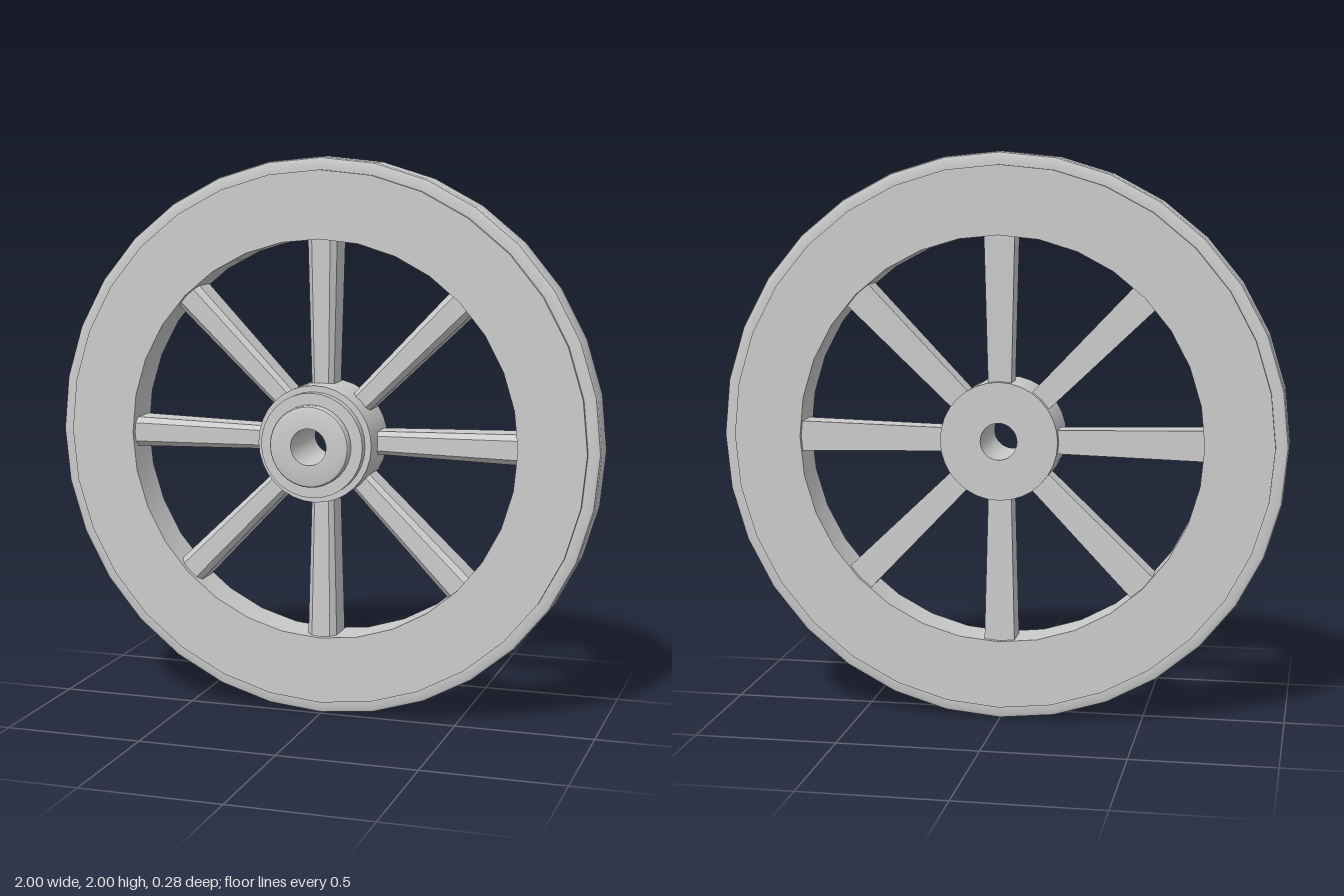
import * as THREE from 'three';
import { toCreasedNormals } from 'three/addons/utils/BufferGeometryUtils.js';

const material = new THREE.MeshStandardMaterial({ color: 0xcccccc });

function addMesh(parent, name, geometry) {
  const mesh = new THREE.Mesh(toCreasedNormals(geometry, Math.PI / 7), material);
  mesh.name = name;
  parent.add(mesh);
  return mesh;
}

// Turns a closed [radius, z] profile around the z axis
function turned(profile, segments) {
  const points = [...profile, profile[0]].map(([r, z]) => new THREE.Vector2(r, z));
  return new THREE.LatheGeometry(points, segments).rotateX(Math.PI / 2);
}

// Tapered bar along y with chamfered front edges
function spokeGeometry() {
  const inner = 0.15, outer = 0.73, half = 0.054, chamfer = 0.02;
  const front = 0.06, midZ = -0.064;
  const section = new THREE.Shape([
    [-half, front], [-half, -front + chamfer], [-half + chamfer, -front],
    [half - chamfer, -front], [half, -front + chamfer], [half, front],
  ].map(([x, y]) => new THREE.Vector2(x, y)));
  const geometry = new THREE.ExtrudeGeometry(section, { depth: outer - inner, bevelEnabled: false });
  geometry.rotateX(-Math.PI / 2).translate(0, inner, 0);
  const p = geometry.attributes.position;
  for (let i = 0; i < p.count; i++) {
    const t = (p.getY(i) - inner) / (outer - inner);
    const s = 0.74 + 0.26 * t;
    p.setX(i, p.getX(i) * s);
    p.setZ(i, p.getZ(i) * (0.84 + 0.16 * t) + midZ);
  }
  return geometry;
}

export function createModel() {
  const wheel = new THREE.Group();
  wheel.name = 'wheel';
  wheel.position.y = 1;

  // Rim with the raised side rings and the rounded tyre band
  addMesh(wheel, 'rim', turned([
    [0.715, -0.14], [0.955, -0.14], [0.955, -0.124], [0.985, -0.124], [0.996, -0.119], [1, -0.108],
    [1, -0.016], [0.996, -0.005], [0.985, 0], [0.955, 0], [0.955, 0.015], [0.715, 0.015],
  ], 32));

  // Stepped hub with an axle hole
  addMesh(wheel, 'hub', turned([
    [0.065, -0.14], [0.208, -0.14], [0.208, 0.07], [0.186, 0.07], [0.186, 0.105], [0.145, 0.105],
    [0.145, 0.128], [0.141, 0.136], [0.132, 0.14], [0.065, 0.14],
  ], 32));

  // Eight spokes
  const spokes = new THREE.Group();
  spokes.name = 'spokes';
  wheel.add(spokes);
  for (let i = 0; i < 8; i++) {
    addMesh(spokes, 'spoke', spokeGeometry()).rotation.z = i * Math.PI / 4;
  }

  const model = new THREE.Group();
  model.name = 'spokedWheel';
  model.add(wheel);
  return model;
}
